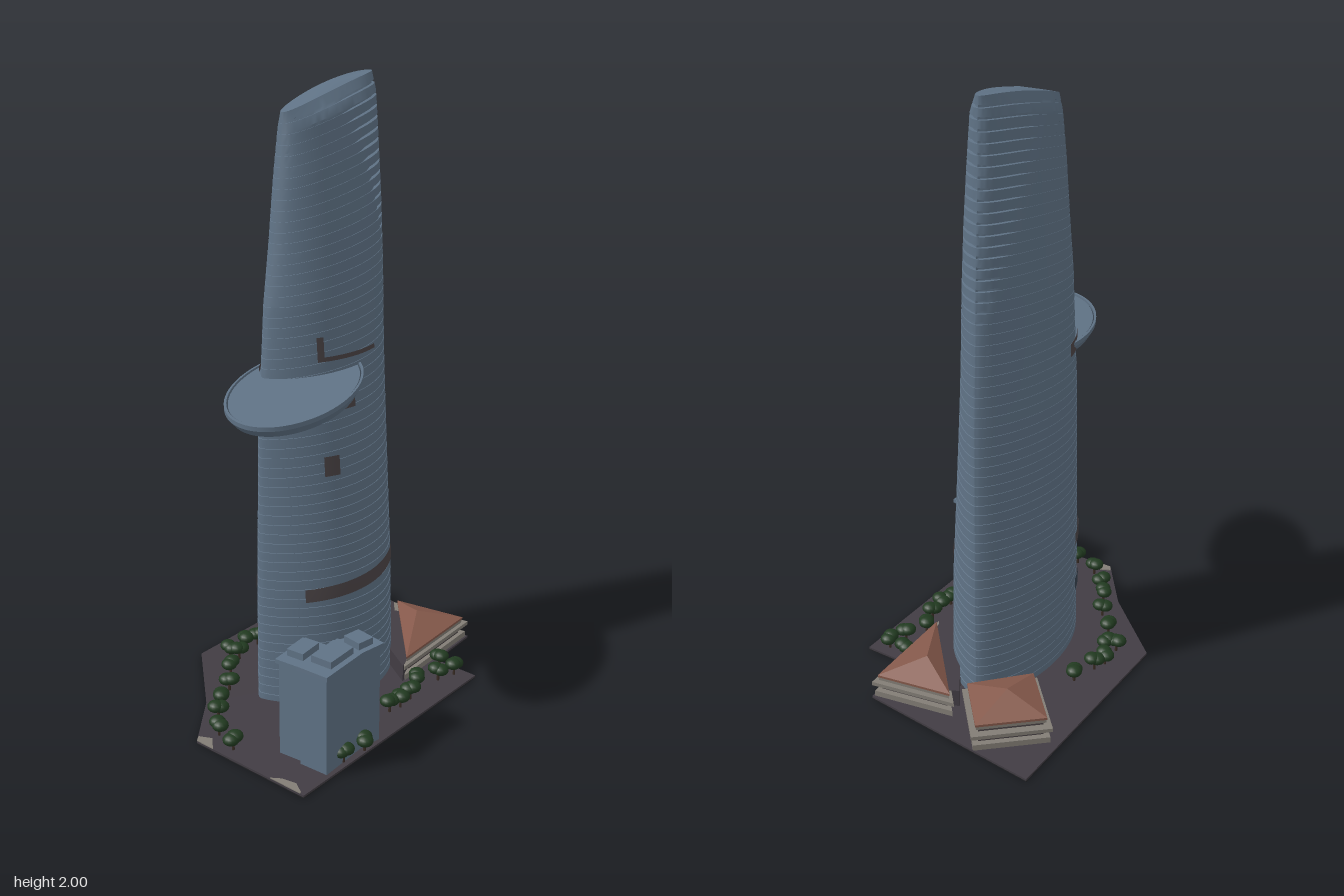
import * as THREE from 'three';
import { toCreasedNormals } from 'three/addons/utils/BufferGeometryUtils.js';
import { ConvexGeometry } from 'three/addons/geometries/ConvexGeometry.js';

const mat = (name, color, side = THREE.FrontSide) => {
  const m = new THREE.MeshStandardMaterial({ color, side });
  m.name = name;
  return m;
};
const glass = mat('blueGreyGlass', 0x5f7285);
const recess = mat('brownRecess', 0x4b4446, THREE.DoubleSide);
const paving = mat('darkPaving', 0x413c43);
const underside = mat('blackUnderside', 0x232325);
const stone = mat('paleStone', 0x827d75);
const tile = mat('terracottaTile', 0x85594b);
const leaf = mat('darkLeaf', 0x213a20);
const bark = mat('bark', 0x3a2d25);
const rimDark = mat('darkGroove', 0x36424e);

const TIP_Z = -0.068;
// Tower profile: height, left x, right x, front bulge, back bulge
const PROFILE = [
  [0, -0.265, 0.335, 0.24, 0.115], [0.4, -0.26, 0.335, 0.225, 0.115],
  [1.0, -0.245, 0.325, 0.18, 0.105], [1.4, -0.21, 0.31, 0.155, 0.09],
  [1.6, -0.18, 0.3, 0.135, 0.08], [1.8, -0.155, 0.29, 0.11, 0.07],
  [1.95, -0.135, 0.287, 0.085, 0.058], [2, -0.13, 0.285, 0.045, 0.032],
];

function sectionAt(y) {
  let i = 0;
  while (i < PROFILE.length - 2 && y > PROFILE[i + 1][0]) i++;
  const a = PROFILE[i], b = PROFILE[i + 1];
  const t = (y - a[0]) / (b[0] - a[0]);
  const [, x0, x1, front, back] = a.map((v, k) => THREE.MathUtils.lerp(v, b[k], t));
  const power = 1.4 - 0.5 * THREE.MathUtils.smoothstep(y, 1, 2);
  return { cx: (x0 + x1) / 2, hx: (x1 - x0) / 2, front, back, power };
}

// Lens-shaped loft with a fine groove at each floor, deeper near the upper right
function towerGeometry() {
  const floors = 60, sides = 72, pos = [], index = [];
  const ring = (y, grooved) => {
    const s = sectionAt(y);
    for (let j = 0; j < sides; j++) {
      const a = (j / sides) * Math.PI * 2, c = Math.cos(a), sn = Math.sin(a);
      const edge = THREE.MathUtils.lerp(0.3, 0.02, (y - 1.3) / 0.65);
      const deep = y > 1.3 ? THREE.MathUtils.smoothstep(s.cx + s.hx * c, edge, edge + 0.08) : 0;
      const k = grooved ? 1 - 0.008 - 0.09 * deep * Math.sqrt(Math.abs(sn)) : 1;
      const top = 2 - 0.08 * ((1 - c) / 2) ** 1.6;
      const z = Math.sign(sn) * Math.abs(sn) ** s.power * (sn > 0 ? s.front : s.back);
      pos.push(s.cx + s.hx * c * k, (y / 2) * top, TIP_Z + z * k);
    }
  };
  for (let i = 0; i < floors; i++) {
    const y = (i / floors) * 2, h = 2 / floors;
    ring(y, true);
    ring(y + h * 0.25, true);
    ring(y + h * 0.25, false);
    ring(y + h * 0.98, false);
  }
  ring(2, false);
  const rings = pos.length / 3 / sides;
  for (let i = 0; i < rings - 1; i++) {
    for (let j = 0; j < sides; j++) {
      const p = i * sides + j, q = i * sides + ((j + 1) % sides);
      index.push(p, p + sides, q, q, p + sides, q + sides);
    }
  }
  // Gently domed roof
  const centre = pos.length / 3, last = (rings - 1) * sides;
  pos.push(0.08, 1.982, TIP_Z);
  for (let j = 0; j < sides; j++) index.push(last + j, centre, last + ((j + 1) % sides));
  const g = new THREE.BufferGeometry();
  g.setAttribute('position', new THREE.Float32BufferAttribute(pos, 3));
  g.setIndex(index);
  return toCreasedNormals(g, 0.6);
}

// Thin plate hugging the facade; side is 1 for front, -1 for back
function facadePatch(x0, x1, y0, y1, side = 1, rise = 0) {
  const g = new THREE.PlaneGeometry(1, 1, 16, 3), p = g.attributes.position;
  for (let i = 0; i < p.count; i++) {
    const u = p.getX(i) + 0.5, v = p.getY(i) + 0.5;
    const x = x0 + (x1 - x0) * u, y = y0 + (y1 - y0) * v + rise * u;
    const s = sectionAt(y), c = THREE.MathUtils.clamp((x - s.cx) / s.hx, -1, 1);
    const depth = (side > 0 ? s.front : s.back) * Math.sqrt(1 - c * c) ** s.power + 0.005;
    p.setXYZ(i, x, y, TIP_Z + side * depth);
  }
  if (side < 0) g.index.array.reverse();
  g.computeVertexNormals();
  return g;
}

// Vertical prism over an outline of [x, z] points
function prism(points, y0, y1) {
  const shape = new THREE.Shape(points.map(([x, z]) => new THREE.Vector2(x, -z)));
  const g = new THREE.ExtrudeGeometry(shape, { depth: y1 - y0, bevelEnabled: false });
  return g.rotateX(-Math.PI / 2).translate(0, y0, 0);
}

function hipRoof(points, y, apex) {
  const pts = points.flatMap(([x, z]) => [new THREE.Vector3(x, y, z), new THREE.Vector3(x, y - 0.008, z)]);
  return new ConvexGeometry([...pts, new THREE.Vector3(...apex)]);
}

const scaled = (points, k) => {
  const cx = points.reduce((s, p) => s + p[0], 0) / points.length;
  const cz = points.reduce((s, p) => s + p[1], 0) / points.length;
  return points.map(([x, z]) => [cx + (x - cx) * k, cz + (z - cz) * k]);
};

export function createModel() {
  const model = new THREE.Group();
  const add = (name, geometry, material, parent = model) => {
    const m = new THREE.Mesh(geometry, material);
    m.name = name;
    parent.add(m);
    return m;
  };

  // Site
  const site = [[-0.58, -0.05], [-0.4, -0.185], [-0.185, -0.42], [0.575, -0.42],
    [0.515, 0.22], [0.31, 0.23], [0.31, 0.395], [-0.58, 0.395]];
  add('ground', prism(site, 0.003, 0.01), paving);
  add('groundUnderside', prism(site, 0, 0.003), underside);
  add('pavingPatchBack', prism([[-0.58, -0.05], [-0.56, -0.062], [-0.54, -0.02], [-0.58, 0.02]], 0.01, 0.013), stone);
  add('pavingPatchFront', prism([[-0.58, 0.26], [-0.56, 0.29], [-0.55, 0.34], [-0.575, 0.38], [-0.58, 0.38]], 0.01, 0.013), stone);

  // Tower and its openings
  add('tower', towerGeometry(), glass);
  add('lowSlot', facadePatch(-0.185, 0.2, 0.375, 0.42, 1, 0.038), recess);
  add('deckOpening', facadePatch(-0.22, 0, 1.01, 1.09), recess);
  add('upperSlot', facadePatch(-0.11, 0.11, 1.172, 1.186), recess);
  add('upperNotch', facadePatch(-0.12, -0.1, 1.172, 1.25), recess);
  add('smallWindow', facadePatch(-0.118, -0.07, 0.8, 0.865), recess);
  add('backSlot', facadePatch(-0.235, -0.13, 0.385, 0.43, -1), recess);
  add('backLowerPanel', facadePatch(-0.235, -0.13, 0.2, 0.25, -1), rimDark);
  add('backDeckSlot', facadePatch(-0.2, -0.08, 1.1, 1.145, -1), recess);

  // Oval deck: a shallow bowl with a raised rim
  const deck = new THREE.Group();
  deck.name = 'skyDeck';
  const bowl = [[0, -0.032], [0.75, -0.03], [0.92, -0.018], [1, 0.008], [1, 0.022], [0.965, 0.022],
    [0.965, 0.012], [0.945, 0.012], [0.945, 0.018], [0, 0.018]].map(([r, y]) => new THREE.Vector2(r, y));
  const oval = new THREE.LatheGeometry(bowl, 72).scale(0.318, 1, 0.19).rotateY(0.354);
  add('deckBowl', toCreasedNormals(oval, 0.5), glass, deck);
  const groove = new THREE.RingGeometry(0.945, 0.965, 72).rotateX(-Math.PI / 2);
  add('deckGroove', groove.scale(0.318, 1, 0.19).rotateY(0.354).translate(0, 0.0135, 0), rimDark, deck);
  deck.position.set(-0.222, 1.105, 0.06);
  deck.rotation.z = 0.06;
  model.add(deck);

  // Neighbouring block: three wings with stepped caps around a dark core
  const block = new THREE.Group();
  block.name = 'neighbourBlock';
  const wings = [
    [-0.365, 0.325, 0.19, 0.1, 0.335, 0.06],
    [-0.245, 0.33, 0.1, 0.09, 0.335, -0.14],
    [-0.385, 0.225, 0.14, 0.08, 0.325, 0.1],
  ];
  for (const [x, z, w, d, h, turn] of wings) {
    const wing = new THREE.Group();
    wing.name = 'wing';
    add('wingBody', new THREE.BoxGeometry(w, h, d).translate(0, h / 2 + 0.01, 0), glass, wing);
    add('wingCornice', new THREE.BoxGeometry(w + 0.018, 0.014, d + 0.014).translate(0, h + 0.012, 0), glass, wing);
    add('wingCap', new THREE.BoxGeometry(w * 0.6, 0.03, d * 0.75).translate(0, h + 0.027, 0), glass, wing);
    wing.position.set(x, 0, z);
    wing.rotation.y = turn;
    block.add(wing);
  }
  add('blockCore', new THREE.BoxGeometry(0.2, 0.28, 0.12).translate(-0.335, 0.15, 0.265), recess, block);
  model.add(block);

  // Pavilions: stone plinth, dark walls, stone eave and tiled hip roof
  const pavilions = [
    { name: 'backPavilion', plan: [[0.39, -0.4], [0.565, -0.21], [0.385, -0.05], [0.2, -0.22]], apex: [0.385, 0.145, -0.225], eave: 0.1 },
    { name: 'frontPavilion', plan: [[0.46, -0.07], [0.515, 0.218], [0.12, 0.236]], apex: [0.37, 0.13, 0.1], eave: 0.088 },
  ];
  for (const { name, plan, apex, eave } of pavilions) {
    const g = new THREE.Group();
    g.name = name;
    add('plinth', prism(scaled(plan, 0.95), 0.01, 0.03), stone, g);
    add('walls', prism(scaled(plan, 0.8), 0.03, eave - 0.008), recess, g);
    add('terrace', prism(plan, 0.055, 0.068), stone, g);
    add('eave', prism(scaled(plan, 0.86), eave - 0.02, eave - 0.008), stone, g);
    add('roof', hipRoof(scaled(plan, 0.88), eave, apex), tile, g);
    model.add(g);
  }
  add('frontPavilionCourt', prism([[0.21, 0.08], [0.4, -0.05], [0.42, 0.0], [0.2, 0.2], [0.12, 0.23]], 0.01, 0.07), paving);

  // Trees: twin-lobed canopies on short trunks
  const trees = [[-0.54, 0.07], [-0.51, -0.02], [-0.44, -0.09], [-0.38, -0.135], [-0.295, -0.18],
    [-0.215, -0.25], [-0.14, -0.325], [-0.125, -0.295], [-0.055, -0.33], [-0.01, -0.315], [0.08, -0.29],
    [-0.14, 0.255], [-0.055, 0.31], [-0.01, 0.32], [0.05, 0.315], [0.125, 0.285], [0.205, 0.315],
    [0.27, 0.335], [0.28, 0.265], [-0.37, 0.375], [-0.28, 0.385]];
  const lobe = new THREE.SphereGeometry(0.027, 14, 10).scale(1, 0.7, 1);
  const trunk = new THREE.CylinderGeometry(0.004, 0.005, 0.035, 6);
  trees.forEach(([x, z], i) => {
    const tree = new THREE.Group();
    tree.name = 'tree';
    add('trunk', trunk, bark, tree).position.y = 0.025;
    for (const s of [-1, 1]) add('canopy', lobe, leaf, tree).position.set(s * 0.009, 0.053 + s * 0.002, 0);
    tree.position.set(x, 0, z);
    tree.rotation.y = i * 1.3;
    model.add(tree);
  });
  return model;
}
